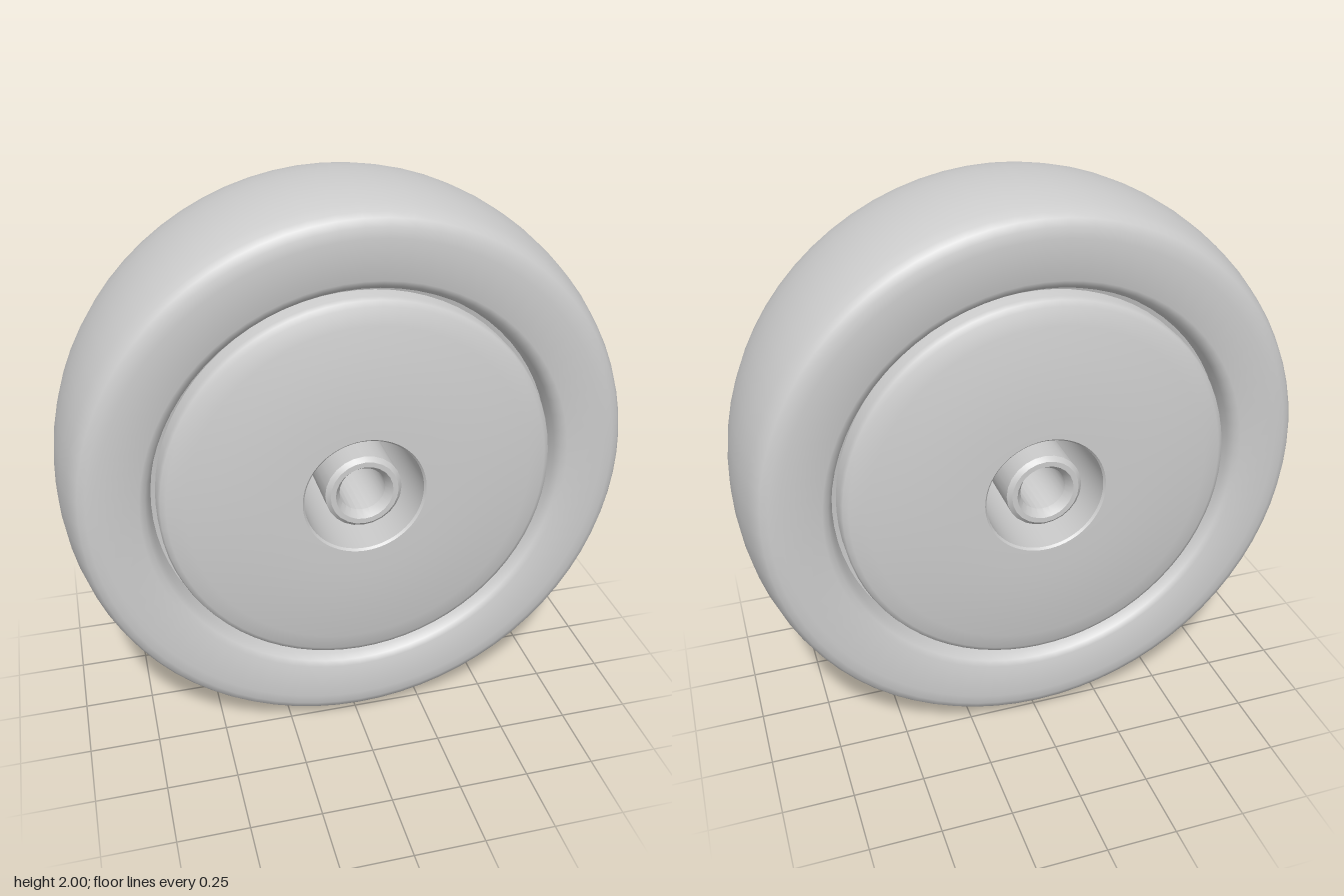
import * as THREE from 'three';
import { toCreasedNormals } from 'three/addons/utils/BufferGeometryUtils.js';

const material = new THREE.MeshStandardMaterial({ color: 0xcccccc });

// Closed ring around the z axis. Both half profiles hold [radius, z] pairs:
// outer runs from the middle plane to the side face, inner runs from the face back in.
function ring(name, outer, inner, segments, crease) {
  const flip = (list) => list.map(([r, z]) => [r, -z]).reverse();
  const loop = [...flip(inner), ...flip(outer), ...outer, ...inner];
  loop.push(loop[0]);
  const points = loop
    .map(([r, z]) => new THREE.Vector2(r, z))
    .filter((p, i, all) => i === 0 || p.distanceTo(all[i - 1]) > 1e-5);
  const geometry = new THREE.LatheGeometry(points, segments);
  geometry.rotateX(Math.PI / 2);
  const mesh = new THREE.Mesh(toCreasedNormals(geometry, crease), material);
  mesh.name = name;
  return mesh;
}

export function createModel() {
  const wheel = new THREE.Group();
  wheel.name = 'wheel';

  // Tyre: crowned tread, rounded shoulder, flat side wall, groove beside the hub
  wheel.add(ring('tyre',
    [[1, 0], [0.997, 0.08], [0.988, 0.16], [0.97, 0.24], [0.955, 0.28],
      [0.94, 0.3], [0.915, 0.312], [0.88, 0.315]],
    [[0.745, 0.315], [0.725, 0.305], [0.71, 0.28], [0.7, 0.23], [0.67, 0.22], [0.67, 0]],
    72, 0.7));

  // Hub disc: gently domed on both faces with a wide central hole
  wheel.add(ring('hubDisc',
    [[0.685, 0], [0.685, 0.285], [0.678, 0.302], [0.66, 0.312], [0.6, 0.324],
      [0.5, 0.34], [0.4, 0.351], [0.3, 0.357]],
    [[0.215, 0.358], [0.208, 0.35], [0.208, 0]],
    72, 0.7));

  // Axle sleeve: a loose tube through the middle of the hub
  const sleeve = ring('axleSleeve',
    [[0.133, 0], [0.133, 0.335], [0.118, 0.35]],
    [[0.1, 0.35], [0.08, 0.32], [0.08, 0]],
    24, 0.6);
  sleeve.position.y = 0.01;
  wheel.add(sleeve);

  wheel.position.y = 1;
  const model = new THREE.Group();
  model.add(wheel);
  return model;
}
